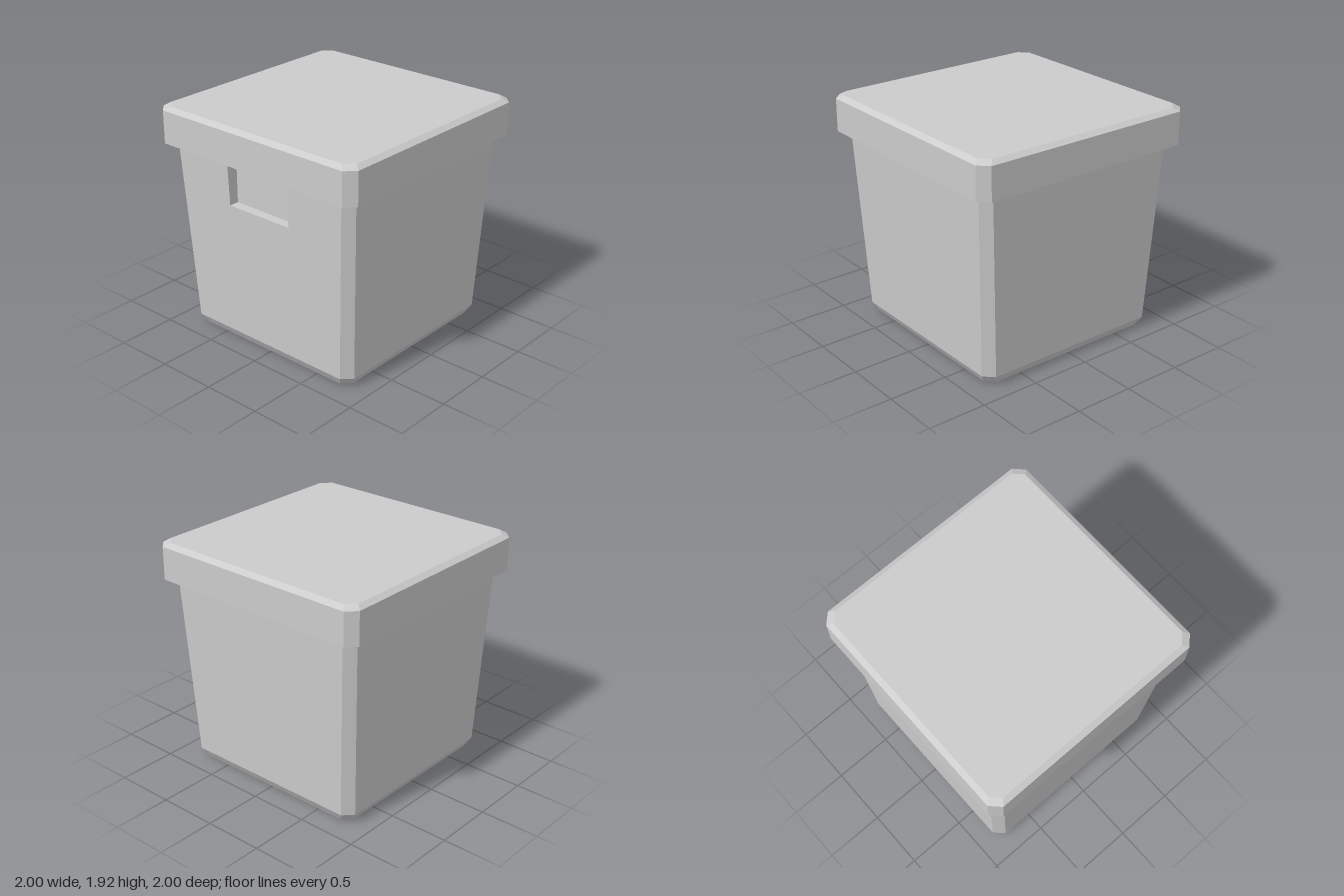
import * as THREE from 'three';

const material = new THREE.MeshStandardMaterial({ color: 0xcccccc, flatShading: true });

// Square ring with cut corners: h = half width, i = where the corner cut begins
const ring = (y, h, i) =>
  [[-i, h], [i, h], [h, i], [h, -i], [i, -h], [-i, -h], [-h, -i], [-h, i]].map(([x, z]) => [x, y, z]);

// Convex faces, corners counter-clockwise seen from outside
function facesMesh(name, faces) {
  const pos = [];
  for (const f of faces) {
    for (let k = 1; k < f.length - 1; k++) pos.push(...f[0], ...f[k], ...f[k + 1]);
  }
  const geometry = new THREE.BufferGeometry();
  geometry.setAttribute('position', new THREE.Float32BufferAttribute(pos, 3));
  geometry.computeVertexNormals();
  const mesh = new THREE.Mesh(geometry, material);
  mesh.name = name;
  return mesh;
}

// Side faces between two rings, from side number "start"
function band(lower, upper, start = 0) {
  const faces = [];
  for (let k = start; k < 8; k++) {
    const n = (k + 1) % 8;
    faces.push([lower[k], lower[n], upper[n], upper[k]]);
  }
  return faces;
}

export function createModel() {
  const group = new THREE.Group();
  group.name = 'storageBox';

  // Tapered body; the front side is left out and built as a panel with a notch
  const base = ring(0, 0.8, 0.727);
  const low = ring(0.08, 0.848, 0.77);
  const rim = ring(1.62, 0.92, 0.845);
  group.add(facesMesh('body', [[...base].reverse(), ...band(base, low), ...band(low, rim, 1)]));

  // Front panel around the handle notch
  const w = 0.308, sill = 1.235, back = 0.82;
  const front = (x, y) => [x, y, THREE.MathUtils.mapLinear(y, 0.08, 1.62, 0.848, 0.92)];
  group.add(facesMesh('frontPanel', [
    [low[0], front(-w, 0.08), front(-w, 1.62), rim[0]],
    [front(-w, 0.08), front(w, 0.08), front(w, sill), front(-w, sill)],
    [front(w, 0.08), low[1], rim[1], front(w, 1.62)],
  ]));

  // Handle recess: back wall, floor and two side walls
  const inner = (x, y) => [x, y, back];
  group.add(facesMesh('handleRecess', [
    [inner(-w, sill), inner(w, sill), inner(w, 1.62), inner(-w, 1.62)],
    [front(-w, sill), front(w, sill), inner(w, sill), inner(-w, sill)],
    [front(-w, sill), inner(-w, sill), inner(-w, 1.62), front(-w, 1.62)],
    [inner(w, sill), front(w, sill), front(w, 1.62), inner(w, 1.62)],
  ]));

  // Overhanging lid with a bevelled top edge
  const lidBottom = ring(1.62, 1, 0.92);
  const lidEdge = ring(1.895, 1, 0.92);
  const lidTop = ring(1.925, 0.955, 0.88);
  group.add(facesMesh('lid', [
    [...lidBottom].reverse(), ...band(lidBottom, lidEdge), ...band(lidEdge, lidTop), lidTop,
  ]));

  return group;
}
